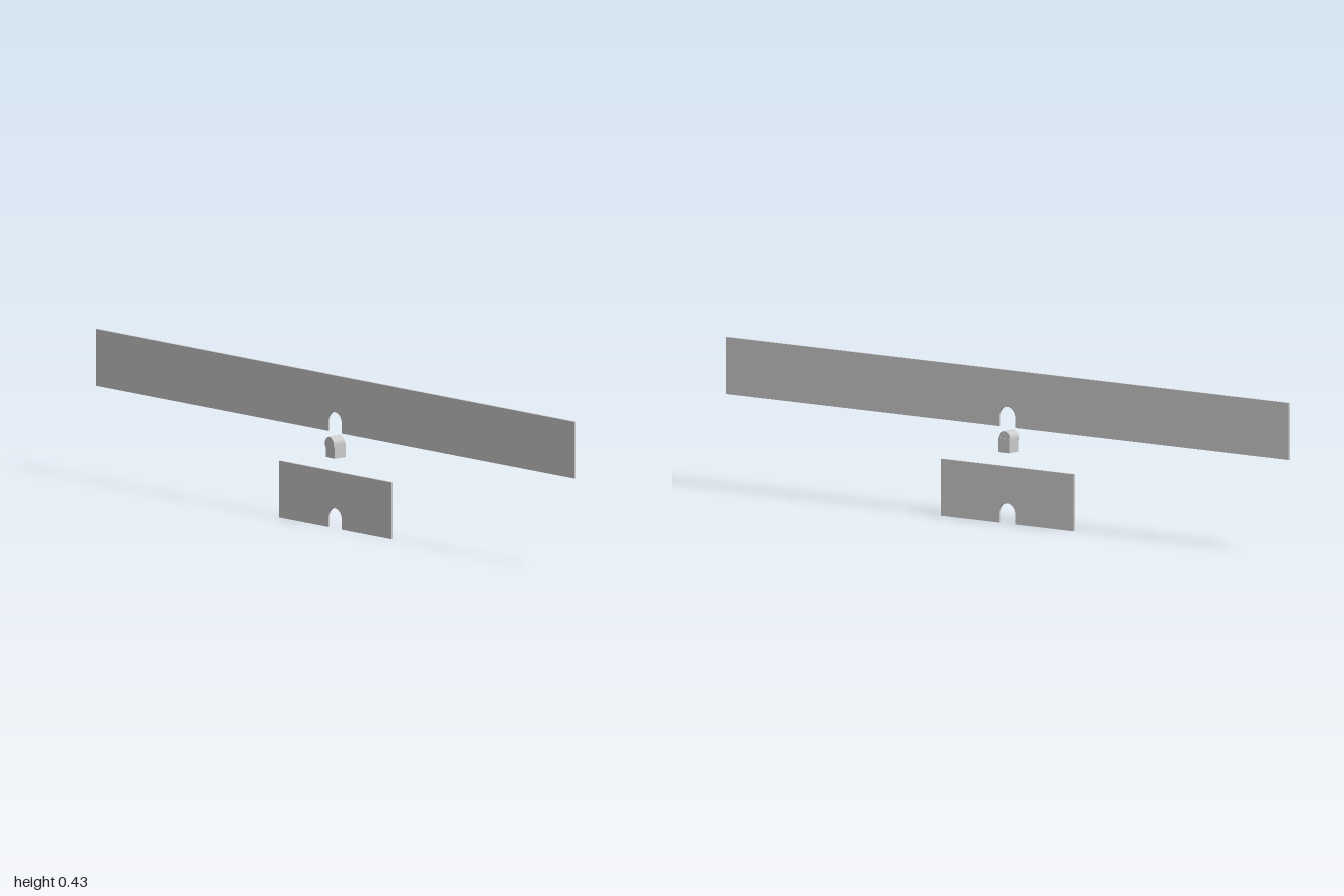
import * as THREE from 'three';

const material = new THREE.MeshStandardMaterial({ color: 0xcccccc });

// Thin upright plate with a round-topped notch in the middle of its lower edge
function notchedPlate(name, halfWidth, height, bottom) {
  const r = 0.029, spring = 0.028, thickness = 0.007;
  const s = new THREE.Shape();
  s.moveTo(-halfWidth, 0);
  s.lineTo(-r, 0);
  s.lineTo(-r, spring);
  s.absarc(0, spring, r, Math.PI, 0, true);
  s.lineTo(r, 0);
  s.lineTo(halfWidth, 0);
  s.lineTo(halfWidth, height);
  s.lineTo(-halfWidth, height);
  s.closePath();
  const geometry = new THREE.ExtrudeGeometry(s, { depth: thickness, bevelEnabled: false, curveSegments: 24 });
  const mesh = new THREE.Mesh(geometry, material);
  mesh.name = name;
  mesh.position.set(0, bottom, -0.0027 - thickness / 2);
  return mesh;
}

export function createModel() {
  const model = new THREE.Group();
  model.name = 'notchedPlates';

  model.add(notchedPlate('upperPlate', 1, 0.161, 0.273));
  model.add(notchedPlate('lowerPlate', 0.235, 0.161, 0));

  // Small plug between the plates: a cube with a cylinder forming its round top
  const plug = new THREE.Group();
  plug.name = 'plug';
  const base = new THREE.Mesh(new THREE.BoxGeometry(0.041, 0.041, 0.041), material);
  base.name = 'plugBase';
  base.position.set(0, 0.2227, -0.0018);
  const top = new THREE.Mesh(new THREE.CylinderGeometry(0.0205, 0.0205, 0.041, 32), material);
  top.name = 'plugRoundTop';
  top.rotation.x = Math.PI / 2;
  top.position.set(0, 0.242, 0.0018);
  plug.add(base, top);
  model.add(plug);

  return model;
}
